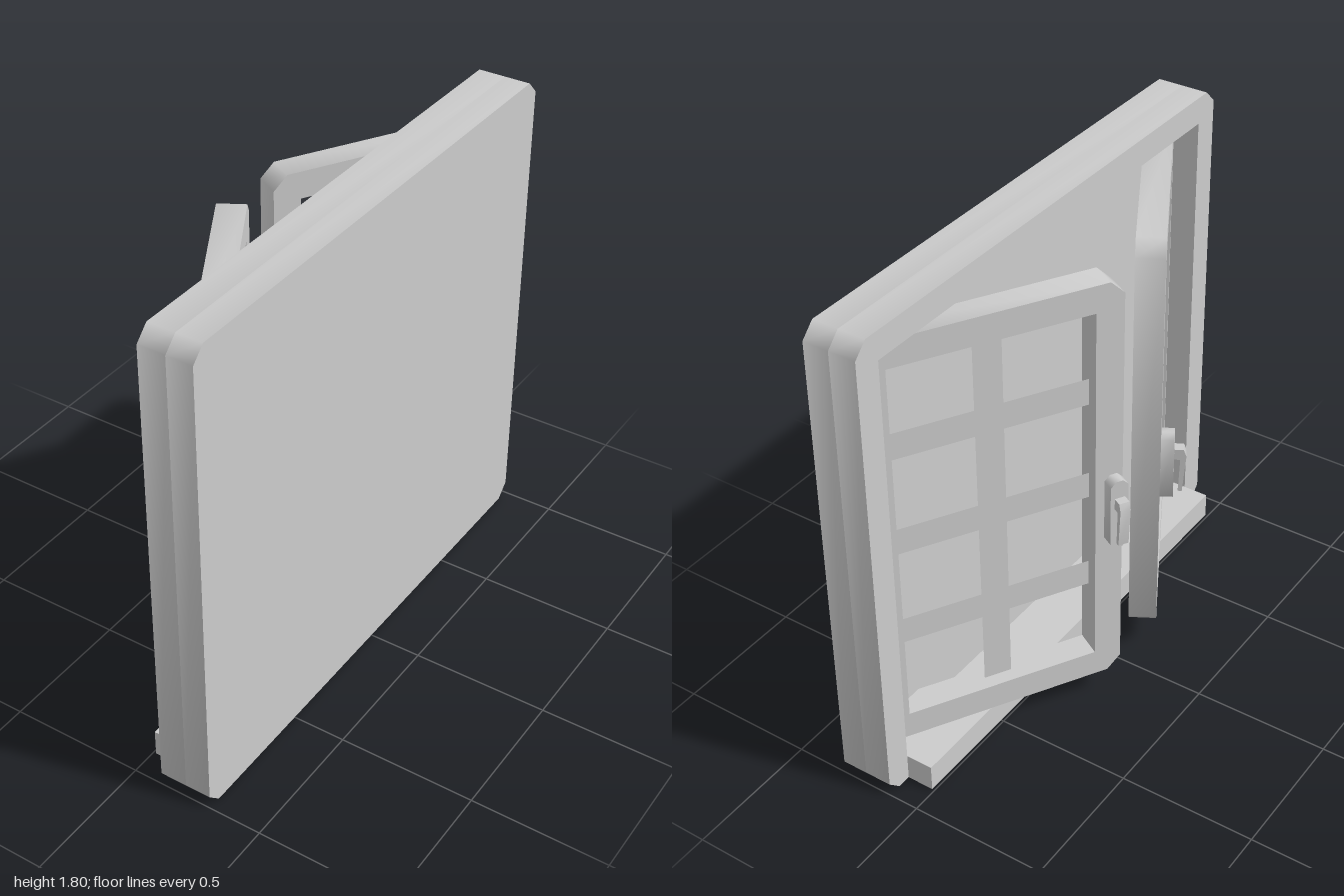
import * as THREE from 'three';
import { toCreasedNormals } from 'three/addons/utils/BufferGeometryUtils.js';

const paint = new THREE.MeshStandardMaterial({ color: 0xcccccc, side: THREE.DoubleSide });
paint.name = 'light grey paint';

function part(name, geometry, parent, x = 0, y = 0, z = 0) {
  const mesh = new THREE.Mesh(geometry, paint);
  mesh.name = name;
  mesh.position.set(x, y, z);
  parent.add(mesh);
  return mesh;
}

const polygon = (points) => points.map(([x, y]) => new THREE.Vector2(x, y));

// Rectangle centred on the origin with cut corners
function chamfered(w, h, c) {
  const x = w / 2, y = h / 2;
  return new THREE.Shape(polygon([
    [-x + c, -y], [x - c, -y], [x, -y + c], [x, y - c],
    [x - c, y], [-x + c, y], [-x, y - c], [-x, -y + c],
  ]));
}

function cutHole(shape, w, h) {
  const x = w / 2, y = h / 2;
  shape.holes.push(new THREE.Path(polygon([[-x, -y], [-x, y], [x, y], [x, -y]])));
  return shape;
}

// Extrusion centred in depth; 45 degree corners are shaded smooth
function slab(shape, depth) {
  const geometry = new THREE.ExtrudeGeometry(shape, { depth, bevelEnabled: false });
  geometry.translate(0, 0, -depth / 2);
  return toCreasedNormals(geometry, Math.PI / 3);
}

// One casement, with local x running from the hinge to the free edge
function createSash(side) {
  const sash = new THREE.Group();
  sash.name = side > 0 ? 'leftSash' : 'rightSash';
  const out = -side; // local z direction of the outer face

  part('sashFrame', slab(cutHole(chamfered(0.9, 1.6, 0.05), 0.7, 1.4), 0.1), sash, 0.45, 0.9, 0);

  // Flat glazing bars
  part('verticalBar', new THREE.PlaneGeometry(0.1, 1.4), sash, 0.45, 0.9, 0);
  for (const y of [0.527, 0.902, 1.277]) {
    for (const x of [0.25, 0.65]) {
      part('horizontalBar', new THREE.PlaneGeometry(0.3, 0.1), sash, x, y, 0);
    }
  }

  // Handle: plate and hanging lever
  part('handlePlate', slab(chamfered(0.066, 0.275, 0.02), 0.046), sash, 0.866, 0.822, out * 0.073);
  const profile = new THREE.Shape(polygon([
    [0.04, 0.85], [0.067, 0.85], [0.062, 0.717], [0.076, 0.717],
    [0.088, 0.865], [0.078, 0.892], [0.04, 0.892],
  ]));
  const lever = part('handleLever', slab(profile, 0.038), sash, 0.867, 0, out * 0.05);
  lever.rotation.y = side * Math.PI / 2;

  // Swing open about the hinge edge, keeping the outer face on the hinge line
  sash.rotation.y = side * Math.PI * 2 / 3;
  sash.position.set(0.21 + 0.05 * 0.866, 0, side * (0.9 - 0.05 * 0.5));
  return sash;
}

export function createModel() {
  const model = new THREE.Group();
  model.name = 'casementWindow';

  // Surround and the solid panel closing it
  const frame = slab(cutHole(chamfered(2, 1.8, 0.05), 1.8, 1.6), 0.1).rotateY(Math.PI / 2);
  part('windowFrame', frame, model, 0.16, 0.9, 0);
  const panel = slab(chamfered(2, 1.8, 0.05), 0.095).rotateY(Math.PI / 2);
  part('backPanel', panel, model, 0.2575, 0.9, 0);

  part('sill', new THREE.BoxGeometry(0.1, 0.1, 1.8), model, 0.06, 0.05, 0);

  for (const side of [1, -1]) model.add(createSash(side));
  return model;
}
